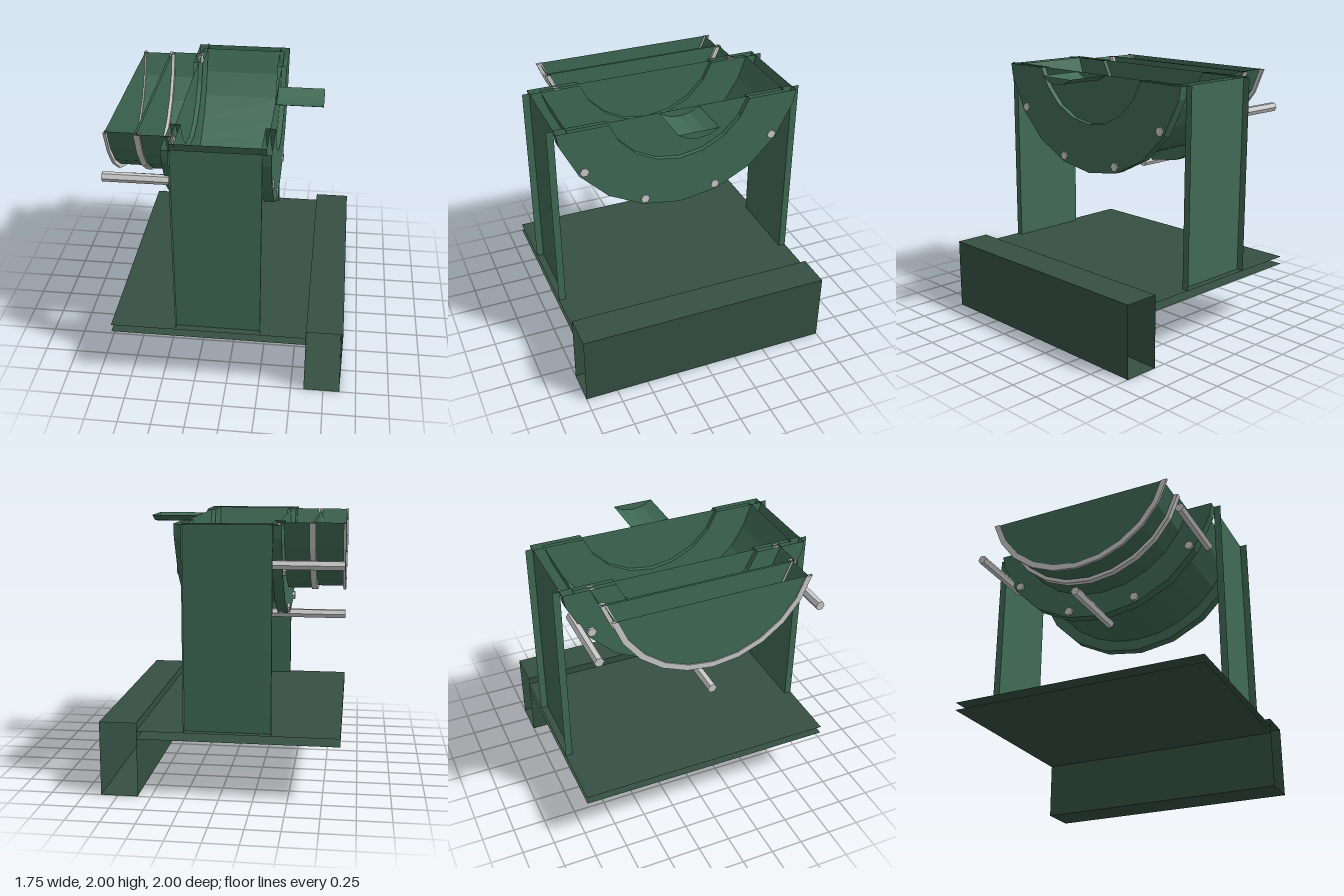
import * as THREE from 'three';

const TOP = 2;        // everything is cut off level at this height
const AXIS_Y = 2.205; // height of the drum axis, which runs along x

const material = (color, flatShading = true) =>
  new THREE.MeshStandardMaterial({ color, flatShading, side: THREE.DoubleSide });

// Lower part of an n-sided polygon around the axis, cut at TOP; points are (z, y)
function arc(r, n) {
  const at = (i) => {
    const a = (i / n) * Math.PI * 2;
    return new THREE.Vector2(Math.sin(a) * r, AXIS_Y - Math.cos(a) * r);
  };
  const half = [at(0)];
  for (let i = 1; i < n / 2; i++) {
    const p = at(i), q = half[half.length - 1];
    if (p.y >= TOP) {
      half.push(q.clone().lerp(p, (TOP - q.y) / (p.y - q.y)));
      break;
    }
    half.push(p);
  }
  const mirrored = half.slice(1).reverse().map((p) => new THREE.Vector2(-p.x, p.y));
  return [...mirrored, ...half];
}

// Sheet swept along x from a cut polygon
function wall(points, x0, x1) {
  const pos = [], index = [];
  points.forEach((p, i) => {
    pos.push(x0, p.y, p.x, x1, p.y, p.x);
    if (i) {
      const k = i * 2;
      index.push(k - 2, k, k - 1, k - 1, k, k + 1);
    }
  });
  const g = new THREE.BufferGeometry();
  g.setAttribute('position', new THREE.Float32BufferAttribute(pos, 3));
  g.setIndex(index);
  const flat = g.toNonIndexed();
  flat.computeVertexNormals();
  return flat;
}

export function createModel() {
  const model = new THREE.Group();
  const green = material(0x406b55);
  const darkGreen = material(0x355042);
  const grey = material(0xcccccc);

  const add = (parent, name, geometry, mat) => {
    const mesh = new THREE.Mesh(geometry, mat);
    mesh.name = name;
    parent.add(mesh);
    return mesh;
  };

  // Hollow cut cylinder (inner = 0 gives solid end discs, otherwise a ring)
  function cutRound(name, outer, inner, sides, x0, x1, mat) {
    const group = new THREE.Group();
    group.name = name;
    const out = arc(outer, sides);
    const inn = inner ? arc(inner, sides) : [];
    add(group, name + 'Outside', wall(out, x0, x1), mat);
    if (inner) add(group, name + 'Inside', wall(inn, x0, x1), mat);
    const face = new THREE.Shape([...out, ...inn.reverse()]);
    for (const [x, turn] of [[x0, -1], [x1, 1]]) {
      const g = new THREE.ShapeGeometry(face).rotateY(turn * Math.PI / 2).translate(x, 0, 0);
      add(group, name + 'End', g, mat);
    }
    model.add(group);
  }

  // Hexagonal bar along x at an angle around the axis
  function hexBar(name, degrees, radius, r, x0, x1) {
    const a = THREE.MathUtils.degToRad(degrees);
    const g = new THREE.CylinderGeometry(r, r, x1 - x0, 6).rotateZ(Math.PI / 2);
    const bar = add(model, name, g, grey);
    bar.position.set((x0 + x1) / 2, AXIS_Y - Math.cos(a) * radius, Math.sin(a) * radius);
  }

  // Drum, its two end flanges and the shaft
  cutRound('drum', 0.885, 0, 28, -0.4, 0.275, green);
  cutRound('leftFlange', 0.98, 0.595, 20, 0.24, 0.315, green);
  cutRound('rightFlange', 0.98, 0.595, 20, -0.44, -0.365, green);
  cutRound('shaft', 0.26, 0, 20, 0.28, 0.635, green);

  // Rear housing in two steps with grey bands
  cutRound('innerHousing', 0.775, 0, 24, -0.645, -0.4, green);
  cutRound('outerHousing', 0.755, 0, 24, -0.872, -0.66, green);
  for (const [x0, x1] of [[-0.88, -0.86], [-0.665, -0.62], [-0.42, -0.383]])
    cutRound('band', 0.785, 0.74, 24, x0, x1, grey);

  // Tie rods and flange bolts
  for (const d of [-60, 0, 60]) hexBar('tieRod', d, 0.985, 0.036, -0.88, -0.285);
  for (const d of [-54, -18, 18, 54]) {
    hexBar('flangeBolt', d, 0.932, 0.036, 0.27, 0.325);
    hexBar('flangeBolt', d, 0.932, 0.036, -0.46, -0.4);
  }

  // Channel posts, open to the outside
  for (const s of [-1, 1]) {
    const post = new THREE.Group();
    post.name = s > 0 ? 'frontPost' : 'backPost';
    const web = add(post, 'postWeb', new THREE.PlaneGeometry(0.635, 1.5), green);
    web.position.set(-0.0625, 1.25, s * 0.945);
    for (const x of [-0.38, 0.255]) {
      const side = add(post, 'postFlange', new THREE.PlaneGeometry(0.055, 1.5), green);
      side.rotation.y = Math.PI / 2;
      side.position.set(x, 1.25, s * 0.9725);
    }
    model.add(post);
  }

  // Base plate: two sheets with open edges
  for (const y of [0.44, 0.5]) {
    const sheet = add(model, 'basePlate', new THREE.PlaneGeometry(1.475, 2), darkGreen);
    sheet.rotation.x = -Math.PI / 2;
    sheet.position.set(-0.1375, y, 0);
  }

  // Box beam with open ends
  const beam = new THREE.Group();
  beam.name = 'beam';
  for (const y of [0, 0.56]) {
    const flat = add(beam, 'beamFlat', new THREE.PlaneGeometry(0.275, 2), darkGreen);
    flat.rotation.x = y ? -Math.PI / 2 : Math.PI / 2;
    flat.position.set(0.7375, y, 0);
  }
  for (const x of [0.6, 0.875]) {
    const side = add(beam, 'beamSide', new THREE.PlaneGeometry(2, 0.56), darkGreen);
    side.rotation.y = x > 0.7 ? Math.PI / 2 : -Math.PI / 2;
    side.position.set(x, 0.28, 0);
  }
  model.add(beam);

  return model;
}
